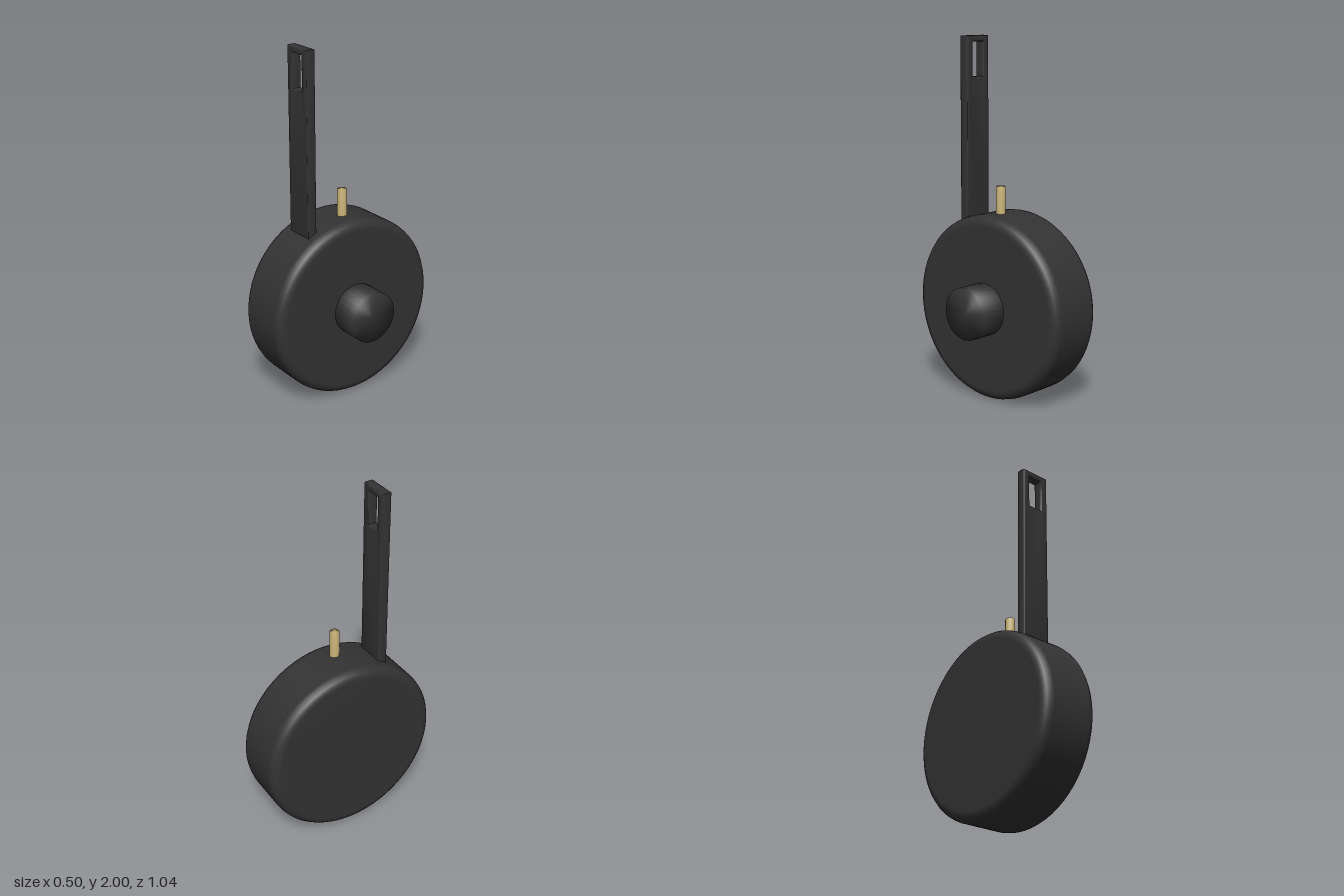
import * as THREE from 'three';
import { mergeVertices, toCreasedNormals } from 'three/addons/utils/BufferGeometryUtils.js';

const CY = 0.52; // height of the drum axis

// Cylinder whose normals flow smoothly over the end caps
function softCylinder(radius, height, sides) {
  const g = new THREE.CylinderGeometry(radius, radius, height, sides);
  g.deleteAttribute('uv');
  g.deleteAttribute('normal');
  const merged = mergeVertices(g, 1e-4);
  merged.computeVertexNormals();
  return merged;
}

export function createModel() {
  const model = new THREE.Group();
  model.name = 'drumWithHandle';
  const black = new THREE.MeshStandardMaterial({ color: 0x333333 });
  black.name = 'charcoal';
  const brass = new THREE.MeshStandardMaterial({ color: 0xccb67a });
  brass.name = 'brass';

  const add = (name, geometry, material, x, y, z) => {
    const mesh = new THREE.Mesh(geometry, material);
    mesh.name = name;
    mesh.position.set(x, y, z);
    model.add(mesh);
    return mesh;
  };

  // Drum: rounded-edge disc lathed around the x axis
  const R = 0.518, half = 0.172, b = 0.055, steps = 4;
  const profile = [new THREE.Vector2(0, -half)];
  for (const side of [-1, 1]) {
    for (let i = 0; i <= steps; i++) {
      const t = (side < 0 ? i : steps - i) / steps * Math.PI / 2;
      profile.push(new THREE.Vector2(R - b + b * Math.sin(t), side * (half - b + b * Math.cos(t))));
    }
  }
  profile.push(new THREE.Vector2(0, half));
  const drum = add('drum', new THREE.LatheGeometry(profile, 64), black, -0.077, CY, 0);
  drum.rotation.z = -Math.PI / 2;

  // Side knob
  const knob = add('sideKnob', softCylinder(0.146, 0.18, 32), black, 0.157, CY + 0.002, 0);
  knob.rotation.z = -Math.PI / 2;

  // Brass pin on top
  add('topPin', softCylinder(0.027, 0.24, 16), brass, -0.04, 1.07, 0);

  // Upright strap with a slot near its top, edges lightly bevelled
  const e = 0.008;
  const rect = (target, x0, y0, x1, y1) => {
    target.moveTo(x0, y0);
    target.lineTo(x1, y0);
    target.lineTo(x1, y1);
    target.lineTo(x0, y1);
    target.closePath();
    return target;
  };
  const outline = rect(new THREE.Shape(), -0.163 + e, 0.968 + e, 0.008 - e, 2 - e);
  outline.holes.push(rect(new THREE.Path(), -0.12 - e, 1.775 - e, -0.036 + e, 1.966 + e));
  const strap = new THREE.ExtrudeGeometry(outline, {
    depth: 0.057 - 2 * e, bevelEnabled: true, bevelSize: e, bevelThickness: e, bevelSegments: 2,
  });
  add('slottedStrap', toCreasedNormals(strap, 0.9), black, 0, 0, 0.203 + e);

  return model;
}
